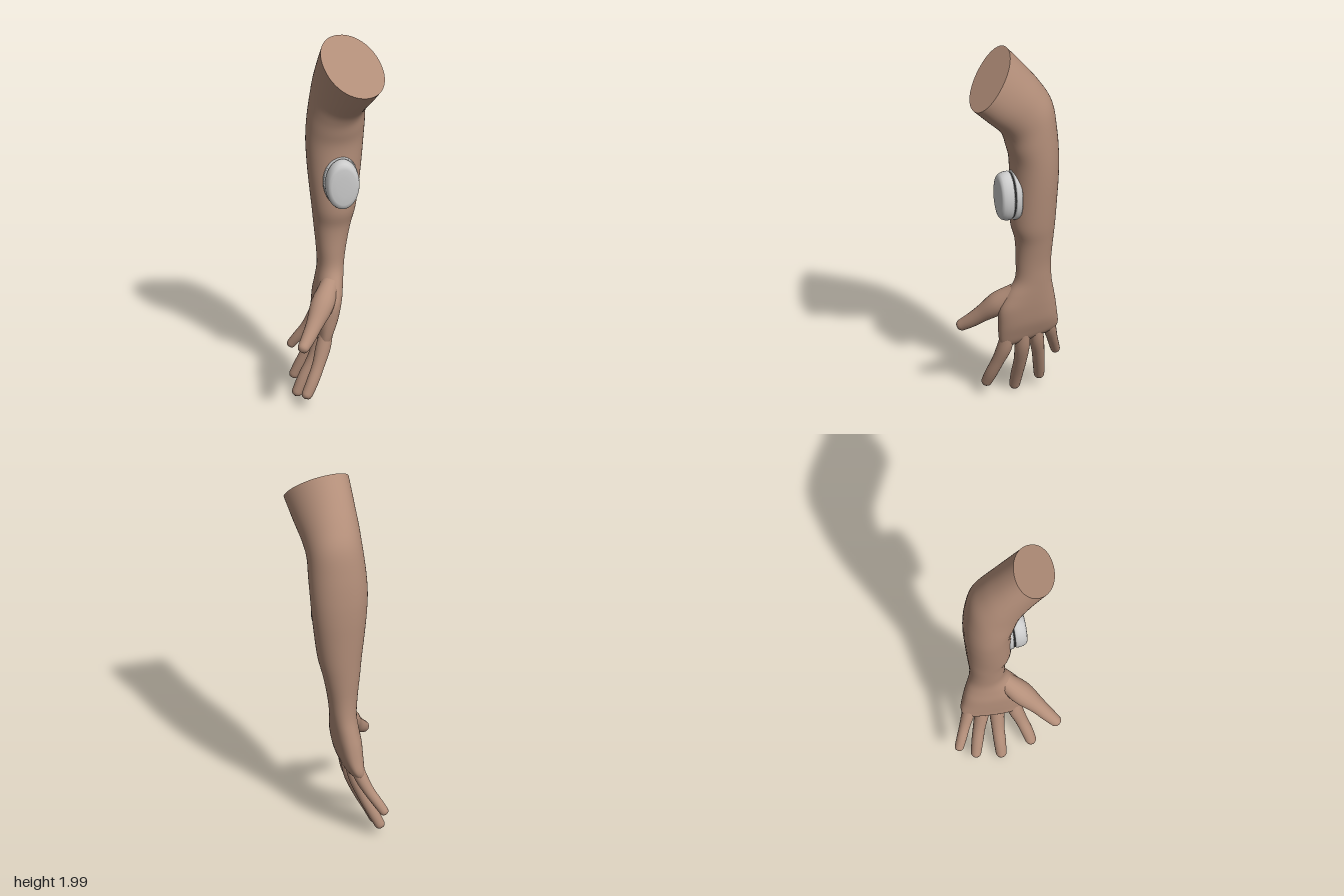
import * as THREE from 'three';
import { mergeVertices } from 'three/addons/utils/BufferGeometryUtils.js';

const skin = new THREE.MeshStandardMaterial({ color: 0xb48f7a });
const shell = new THREE.MeshStandardMaterial({ color: 0xcccccc });
const gasket = new THREE.MeshStandardMaterial({ color: 0x555555 });

function part(name, geometry, material) {
  const mesh = new THREE.Mesh(geometry, material);
  mesh.name = name;
  return mesh;
}

function smooth(geometry) {
  geometry.deleteAttribute('uv');
  geometry.deleteAttribute('normal');
  const merged = mergeVertices(geometry, 1e-5);
  merged.computeVertexNormals();
  return merged;
}

// Cross-sections from the cut upper arm down to the knuckles:
// [xMin, xMax, front z, front y, back z, back y, skew, squareness]
const SECTIONS = [
  [-0.07, 0.215, 0.275, 1.745, 0.055, 2.0, 0.05, 2.1],
  [-0.08, 0.2, 0.19, 1.655, -0.025, 1.905, 0.035, 2.1],
  [-0.092, 0.185, 0.115, 1.575, -0.105, 1.8, 0.015, 2.1],
  [-0.1, 0.178, 0.08, 1.515, -0.165, 1.69, 0, 2.1],
  [-0.11, 0.177, 0.06, 1.45, -0.19, 1.54, 0, 2.1],
  [-0.114, 0.173, 0.042, 1.38, -0.2, 1.4, 0, 2.1],
  [-0.109, 0.165, 0.037, 1.28, -0.2, 1.28, 0, 2.1],
  [-0.099, 0.152, 0.037, 1.16, -0.194, 1.16, 0, 2.1],
  [-0.084, 0.133, 0.035, 1.02, -0.186, 1.02, 0, 2.1],
  [-0.073, 0.11, 0.01, 0.92, -0.179, 0.92, 0, 2.1],
  [-0.061, 0.087, 0.004, 0.8, -0.172, 0.8, 0, 2.1],
  [-0.055, 0.075, 0.008, 0.7, -0.176, 0.7, 0, 2.1],
  [-0.065, 0.066, 0.05, 0.62, -0.191, 0.62, 0, 2.2],
  [-0.077, 0.055, 0.085, 0.54, -0.205, 0.55, 0, 2.4],
  [-0.08, 0.038, 0.085, 0.45, -0.217, 0.475, 0, 2.5],
  [-0.08, 0.015, 0.079, 0.38, -0.226, 0.42, 0, 2.6],
  [-0.08, -0.003, 0.07, 0.335, -0.222, 0.39, 0, 2.6],
  [-0.068, -0.025, 0.055, 0.31, -0.21, 0.37, 0, 2.6],
];

// Forearm and palm: one skin lofted through the sections
function armGeometry(rows = 85, cols = 48) {
  const track = (pick) =>
    new THREE.CatmullRomCurve3(SECTIONS.map((s) => new THREE.Vector3(...pick(s))), false, 'catmullrom', 0.5);
  const sides = track((s) => [s[0], s[1], s[6]]);
  const front = track((s) => [s[7], s[3], s[2]]);
  const back = track((s) => [s[7], s[5], s[4]]);
  const pos = [];
  const idx = [];
  const power = (c, n) => Math.sign(c) * Math.abs(c) ** (2 / n);
  for (let i = 0; i <= rows; i++) {
    const t = i / rows;
    const s = sides.getPoint(t);
    const f = front.getPoint(t);
    const b = back.getPoint(t);
    for (let j = 0; j < cols; j++) {
      const a = (j / cols) * Math.PI * 2;
      const u = power(Math.cos(a), f.x);
      const v = power(Math.sin(a), f.x);
      pos.push(
        (s.x + s.y) / 2 + ((s.y - s.x) / 2) * u + s.z * v,
        (f.y + b.y) / 2 + ((f.y - b.y) / 2) * v,
        (f.z + b.z) / 2 + ((f.z - b.z) / 2) * v
      );
    }
  }
  for (let i = 0; i < rows; i++) {
    for (let j = 0; j < cols; j++) {
      const k = (j + 1) % cols;
      const p = i * cols;
      const q = p + cols;
      idx.push(p + j, p + k, q + j, p + k, q + k, q + j);
    }
  }
  // Flat cut at the top with its own ring for a crisp edge, closed knuckle end
  const cap = (row, flip) => {
    const ring = pos.slice(row * cols * 3, (row + 1) * cols * 3);
    const start = pos.length / 3;
    pos.push(...ring);
    for (let j = 1; j < cols - 1; j++) {
      if (flip) idx.push(start, start + j + 1, start + j);
      else idx.push(start, start + j, start + j + 1);
    }
  };
  cap(0, true);
  cap(rows, false);
  const g = new THREE.BufferGeometry();
  g.setAttribute('position', new THREE.Float32BufferAttribute(pos, 3));
  g.setIndex(idx);
  g.computeVertexNormals();
  return g;
}

// Tapered finger with a rounded tip; each point is [x, y, z, radius]
function fingerGeometry(points) {
  const curve = new THREE.CatmullRomCurve3(points.map(([x, y, z]) => new THREE.Vector3(x, y, z)));
  const radii = new THREE.SplineCurve(points.map((p, i) => new THREE.Vector2(i, p[3])));
  const rows = 48;
  const cols = 20;
  const g = new THREE.TubeGeometry(curve, rows, 1, cols, false);
  const pos = g.attributes.position;
  const length = curve.getLength();
  const round = 1 - points[points.length - 1][3] / length;
  const v = new THREE.Vector3();
  for (let i = 0; i <= rows; i++) {
    const t = i / rows;
    const c = curve.getPointAt(t);
    let r = radii.getPoint(curve.getUtoTmapping(t)).y;
    if (t > round) r *= Math.sqrt(Math.max(0, 1 - ((t - round) / (1 - round)) ** 2));
    for (let j = 0; j <= cols; j++) {
      const k = i * (cols + 1) + j;
      v.fromBufferAttribute(pos, k).sub(c).multiplyScalar(r).add(c);
      pos.setXYZ(k, v.x, v.y, v.z);
    }
  }
  return smooth(g);
}

const DIGITS = {
  thumb: [
    [-0.005, 0.63, -0.005, 0.045], [-0.06, 0.55, 0.07, 0.058], [-0.115, 0.475, 0.14, 0.042],
    [-0.155, 0.425, 0.185, 0.035], [-0.2, 0.378, 0.235, 0.027],
  ],
  indexFinger: [
    [-0.025, 0.42, 0.03, 0.03], [-0.05, 0.31, 0.043, 0.037], [-0.08, 0.22, 0.067, 0.031],
    [-0.115, 0.14, 0.089, 0.03], [-0.155, 0.06, 0.107, 0.026],
  ],
  middleFinger: [
    [-0.015, 0.43, -0.045, 0.03], [-0.042, 0.31, -0.047, 0.037], [-0.083, 0.2, -0.05, 0.032],
    [-0.132, 0.1, -0.05, 0.03], [-0.172, 0.007, -0.05, 0.026],
  ],
  ringFinger: [
    [-0.015, 0.45, -0.105, 0.03], [-0.045, 0.33, -0.122, 0.036], [-0.08, 0.23, -0.143, 0.031],
    [-0.12, 0.14, -0.161, 0.029], [-0.162, 0.048, -0.178, 0.025],
  ],
  littleFinger: [
    [-0.02, 0.47, -0.17, 0.03], [-0.05, 0.375, -0.192, 0.032], [-0.085, 0.3, -0.217, 0.027],
    [-0.125, 0.235, -0.242, 0.025], [-0.16, 0.178, -0.265, 0.022],
  ],
};

// Oval disc facing +z, turned from a [radius, depth] profile
function ovalGeometry(profile, rx, ry) {
  const g = new THREE.LatheGeometry(profile.map(([r, h]) => new THREE.Vector2(r, h)), 64);
  g.rotateX(Math.PI / 2);
  g.scale(rx, ry, 1);
  return smooth(g);
}

export function createModel() {
  const model = new THREE.Group();

  const arm = new THREE.Group();
  arm.name = 'arm';
  arm.add(part('forearmAndPalm', armGeometry(), skin));
  for (const [name, points] of Object.entries(DIGITS)) arm.add(part(name, fingerGeometry(points), skin));
  model.add(arm);

  // Wearable sensor: skin plate, dark seam and domed shell
  const sensor = new THREE.Group();
  sensor.name = 'sensor';
  sensor.position.set(0.04, 1.193, 0);
  const plate = [[0, 0.01], [0.97, 0.01], [1, 0.018], [1, 0.036], [0.97, 0.042], [0, 0.042]];
  const seam = [[0, 0.04], [0.92, 0.04], [0.92, 0.054], [0, 0.054]];
  const dome = [
    [0, 0.048], [0.93, 0.048], [0.98, 0.054], [0.99, 0.066], [0.97, 0.084], [0.92, 0.099],
    [0.84, 0.108], [0.72, 0.112], [0.4, 0.114], [0, 0.114],
  ];
  sensor.add(part('sensorPlate', ovalGeometry(plate, 0.088, 0.133), shell));
  sensor.add(part('sensorSeam', ovalGeometry(seam, 0.088, 0.133), gasket));
  sensor.add(part('sensorShell', ovalGeometry(dome, 0.086, 0.132), shell));
  model.add(sensor);

  return model;
}
